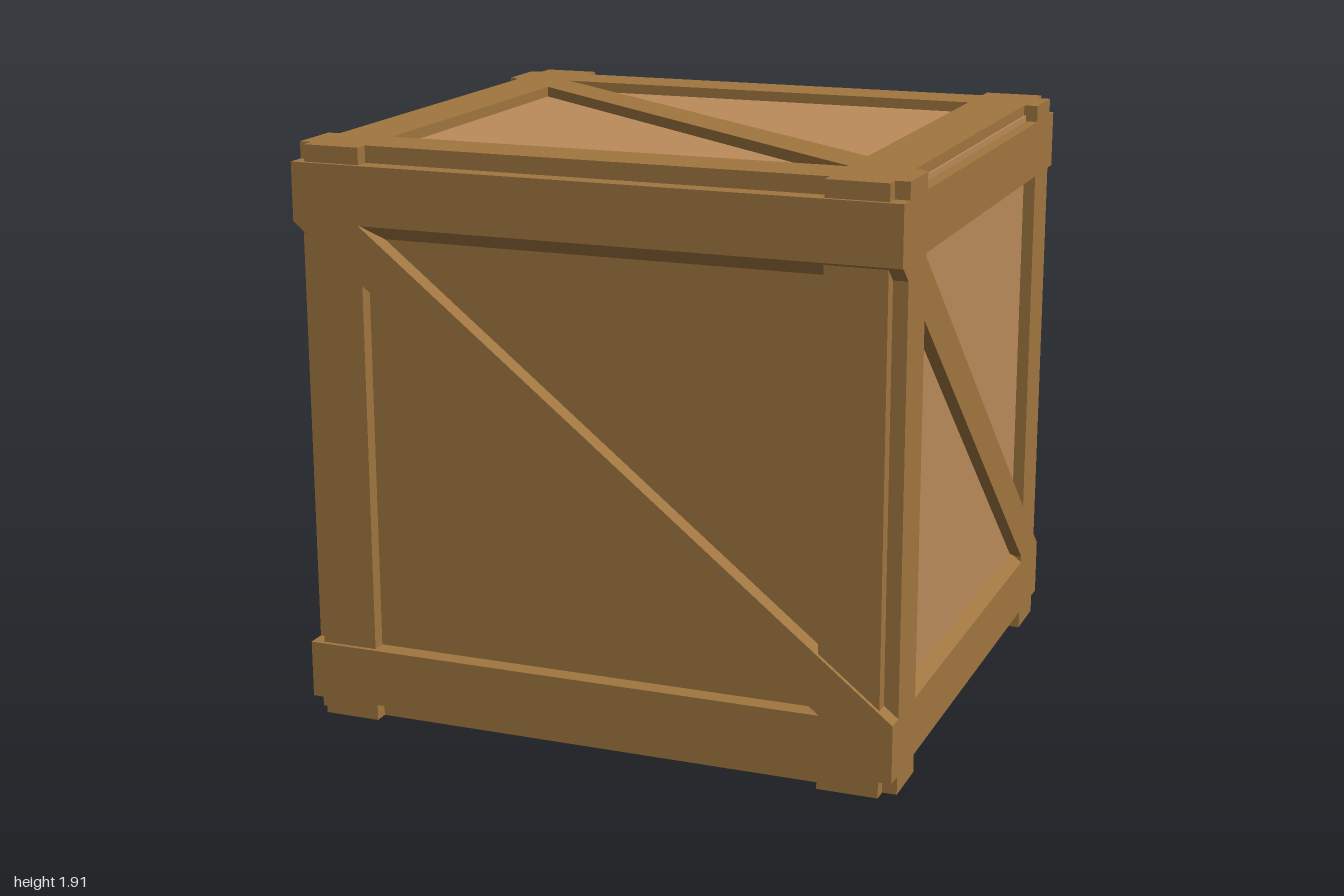
import * as THREE from 'three';

export function createModel() {
  const crate = new THREE.Group();
  crate.name = 'woodenCrate';
  const frameWood = new THREE.MeshStandardMaterial({ color: 0xa07640, flatShading: true });
  const panelWood = new THREE.MeshStandardMaterial({ color: 0xbb8b5a, flatShading: true });

  const add = (name, geometry, material = frameWood) => {
    const mesh = new THREE.Mesh(geometry, material);
    mesh.name = name;
    crate.add(mesh);
  };

  // Box given by its [min, max] along each axis
  const slab = (name, [x0, x1], [y0, y1], [z0, z1], material) => {
    const g = new THREE.BoxGeometry(x1 - x0, y1 - y0, z1 - z0);
    g.translate((x0 + x1) / 2, (y0 + y1) / 2, (z0 + z1) / 2);
    add(name, g, material);
  };

  // Four-cornered outline extruded along +z
  const brace = (corners, depth) => new THREE.ExtrudeGeometry(
    new THREE.Shape(corners.map(([u, v]) => new THREE.Vector2(u, v))),
    { depth, bevelEnabled: false });

  // Pale inner box that shows as the panels
  slab('innerPanels', [-0.96, 0.96], [0.035, 1.875], [-0.89, 0.86], panelWood);

  // Frame layers run right through, so each one makes rails on four sides
  slab('lowerRails', [-1, 1], [0.06, 0.25], [-0.93, 0.94]);
  slab('upperRails', [-1, 1], [1.665, 1.855], [-0.93, 0.94]);
  slab('rightPosts', [-0.96, -0.77], [0, 1.91], [-0.94, 0.925]);
  slab('leftPosts', [0.755, 0.953], [0, 1.91], [-0.94, 0.925]);
  slab('frontBoards', [-1, 1], [0, 1.91], [0.695, 0.878]);
  slab('backBoards', [-1, 1], [0, 1.91], [-0.87, -0.685]);

  // Diagonal braces of the front and back
  const frontBack = brace([[-1, 1.665], [0.765, 0.25], [1, 0.25], [-0.77, 1.665]], 1.87);
  frontBack.translate(0, 0, -0.93);
  add('frontBackBrace', frontBack);

  // Diagonal braces of the top and bottom
  const topBottom = brace([[-1, -0.69], [-0.77, -0.69], [1, 0.695], [0.76, 0.695]], 1.91);
  topBottom.rotateX(Math.PI / 2).translate(0, 1.91, 0);
  add('topBottomBrace', topBottom);

  // Diagonal braces of the two sides
  const sides = brace([[0.935, 1.665], [0.705, 1.665], [-0.93, 0.25], [-0.71, 0.25]], 2);
  sides.rotateY(-Math.PI / 2).translate(1, 0, 0);
  add('sideBrace', sides);

  return crate;
}
